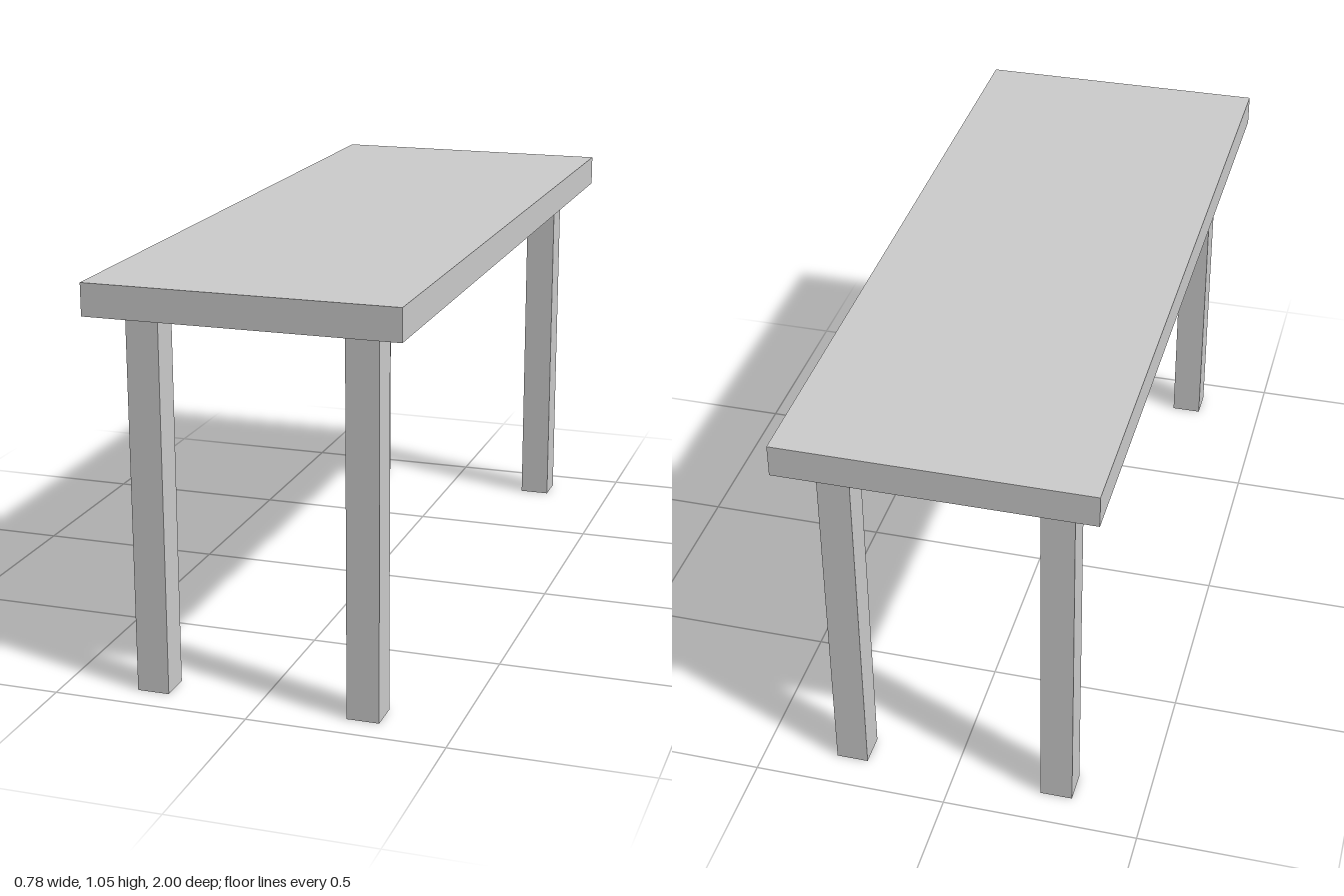
import * as THREE from 'three';

export function createModel() {
  const group = new THREE.Group();
  const material = new THREE.MeshStandardMaterial({ color: 0xcccccc, flatShading: true });

  const addBox = (name, size, position) => {
    const mesh = new THREE.Mesh(new THREE.BoxGeometry(...size), material);
    mesh.name = name;
    mesh.position.set(...position);
    group.add(mesh);
  };

  // Table top
  const legHeight = 0.966, topThickness = 0.081;
  addBox('tableTop', [0.78, topThickness, 2], [0, legHeight + topThickness / 2, 0]);

  // Four square legs; the back pair is inset slightly further than the front pair
  const legWidth = 0.082;
  for (const [end, z] of [['front', 0.884], ['back', -0.867]]) {
    for (const [side, x] of [['Left', 0.272], ['Right', -0.272]]) {
      addBox(`${end}${side}Leg`, [legWidth, legHeight, legWidth], [x, legHeight / 2, z]);
    }
  }

  return group;
}
